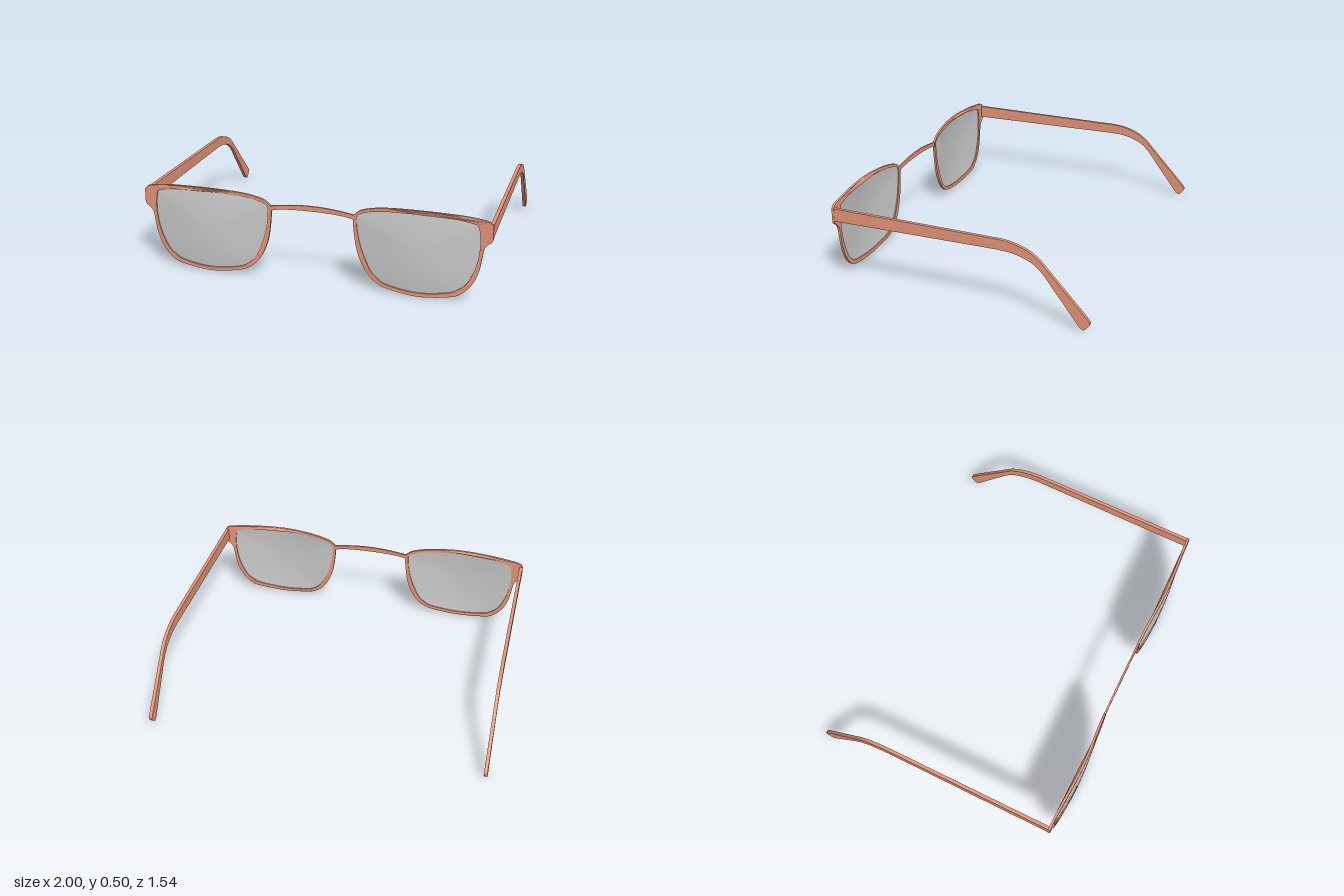
import * as THREE from 'three';
import { toCreasedNormals } from 'three/addons/utils/BufferGeometryUtils.js';

const frameMaterial = new THREE.MeshStandardMaterial({ color: 0xe6967a });
const lensMaterial = new THREE.MeshStandardMaterial({ color: 0xcccccc, side: THREE.DoubleSide });

// Gentle forward bow of the front, strongest at the middle of each lens.
const bow = (x) => {
  const t = Math.min(1, Math.abs(Math.abs(x) - 0.6) / 0.38);
  return 0.018 * (0.5 + 0.5 * Math.cos(Math.PI * t));
};

const vecs = (points, side = 1) => points.map(([x, y]) => new THREE.Vector2(x * side, y));

// A path made of smooth runs that meet in corners.
function trace(path, runs, side = 1) {
  const [first, ...rest] = vecs(runs[0], side);
  path.moveTo(first.x, first.y);
  path.splineThru(rest);
  runs.slice(1).forEach((run) => path.splineThru(vecs(run, side)));
  path.closePath();
  return path;
}

const rimOuter = [
  [[0.985, 0.472], [0.95, 0.482], [0.82, 0.497], [0.607, 0.504], [0.42, 0.495], [0.3, 0.472],
    [0.25, 0.443], [0.235, 0.405], [0.25, 0.265], [0.275, 0.175], [0.315, 0.102], [0.36, 0.057],
    [0.43, 0.025], [0.607, 0.003], [0.785, 0.022], [0.85, 0.052], [0.902, 0.112],
    [0.933, 0.19], [0.947, 0.27], [0.955, 0.32], [0.972, 0.345], [0.995, 0.363]],
  [[1, 0.378], [1, 0.42], [1, 0.455]],
];
const rimInner = [
  [0.607, 0.484], [0.77, 0.477], [0.895, 0.458], [0.924, 0.435], [0.933, 0.33], [0.917, 0.22],
  [0.875, 0.117], [0.83, 0.072], [0.77, 0.044], [0.607, 0.025], [0.44, 0.044], [0.375, 0.075],
  [0.328, 0.13], [0.275, 0.265], [0.255, 0.4], [0.275, 0.443], [0.4, 0.474],
];
const innerCurve = () => new THREE.SplineCurve(vecs([...rimInner, rimInner[0]]));

function rimGeometry(side) {
  const shape = trace(new THREE.Shape(), rimOuter, side);
  const hole = innerCurve().getPoints(90).map((p) => new THREE.Vector2(p.x * side, p.y));
  shape.holes.push(new THREE.Path(hole));
  const geo = new THREE.ExtrudeGeometry(shape, { depth: 0.014, bevelEnabled: false, curveSegments: 5 });
  const pos = geo.attributes.position;
  for (let i = 0; i < pos.count; i++) {
    pos.setZ(i, pos.getZ(i) + 0.731 + bow(pos.getX(i)));
  }
  return toCreasedNormals(geo, 0.6);
}

// Domed lens: rings of the rim opening shrinking toward its centre.
function lensGeometry(side) {
  const edge = innerCurve().getPoints(72).slice(0, 72);
  const rings = 10, n = edge.length, cx = 0.6, cy = 0.255;
  const position = [], index = [];
  for (let r = 0; r <= rings; r++) {
    const k = 1.012 * (1 - r / rings);
    for (const p of edge) {
      const x = cx + (p.x - cx) * k;
      position.push(x * side, cy + (p.y - cy) * k, 0.738 + bow(x) + 0.013 * (1 - k * k));
    }
  }
  for (let r = 0; r < rings; r++) {
    for (let i = 0; i < n; i++) {
      const a = r * n + i, b = r * n + (i + 1) % n, c = a + n, d = b + n;
      const faces = r < rings - 1 ? [a, c, b, b, c, d] : [a, c, b];
      if (side > 0) faces.reverse();
      index.push(...faces);
    }
  }
  // The outline runs clockwise on the left, so both sides end up facing forward.
  index.reverse();
  const geo = new THREE.BufferGeometry();
  geo.setAttribute('position', new THREE.Float32BufferAttribute(position, 3));
  geo.setIndex(index);
  geo.computeVertexNormals();
  return geo;
}

// Temple arm: side profile in (z, y), extruded across x.
function armGeometry() {
  const shape = new THREE.Shape();
  shape.moveTo(0.736, 0.38);
  shape.lineTo(0.736, 0.455);
  shape.lineTo(-0.22, 0.444);
  shape.splineThru(vecs([[-0.27, 0.443], [-0.34, 0.433], [-0.42, 0.405], [-0.48, 0.364], [-0.53, 0.312]]));
  shape.lineTo(-0.75, 0.078);
  shape.splineThru(vecs([[-0.765, 0.057], [-0.765, 0.042], [-0.743, 0.015], [-0.73, 0.008], [-0.712, 0.018]]));
  shape.lineTo(-0.56, 0.217);
  shape.splineThru(vecs([[-0.51, 0.283], [-0.46, 0.33], [-0.4, 0.36], [-0.33, 0.379], [-0.25, 0.385]]));
  shape.closePath();
  const geo = new THREE.ExtrudeGeometry(shape, { depth: 0.02, bevelEnabled: false, curveSegments: 6 });
  geo.translate(0, 0, -0.01);
  geo.rotateY(-Math.PI / 2);
  return toCreasedNormals(geo, 0.6);
}

function bridgeGeometry() {
  const shape = trace(new THREE.Shape(), [
    [[-0.25, 0.43], [-0.2, 0.438], [-0.1, 0.45], [0, 0.454], [0.1, 0.45], [0.2, 0.438], [0.25, 0.43]],
    [[0.25, 0.418], [0.25, 0.402]],
    [[0.225, 0.408], [0.18, 0.417], [0.1, 0.423], [0, 0.425], [-0.1, 0.423], [-0.18, 0.417], [-0.225, 0.408], [-0.25, 0.402]],
  ]);
  const geo = new THREE.ExtrudeGeometry(shape, { depth: 0.011, bevelEnabled: false, curveSegments: 4 });
  geo.translate(0, 0, 0.732);
  return toCreasedNormals(geo, 0.6);
}

export function createModel() {
  const model = new THREE.Group();
  model.name = 'eyeglasses';
  const add = (name, geometry, material) => {
    const mesh = new THREE.Mesh(geometry, material);
    mesh.name = name;
    model.add(mesh);
    return mesh;
  };
  for (const [side, label] of [[1, 'left'], [-1, 'right']]) {
    add(label + 'Rim', rimGeometry(side), frameMaterial);
    add(label + 'Lens', lensGeometry(side), lensMaterial);
    add(label + 'Arm', armGeometry(), frameMaterial).position.x = side * 0.989;
  }
  add('bridge', bridgeGeometry(), frameMaterial);
  return model;
}
